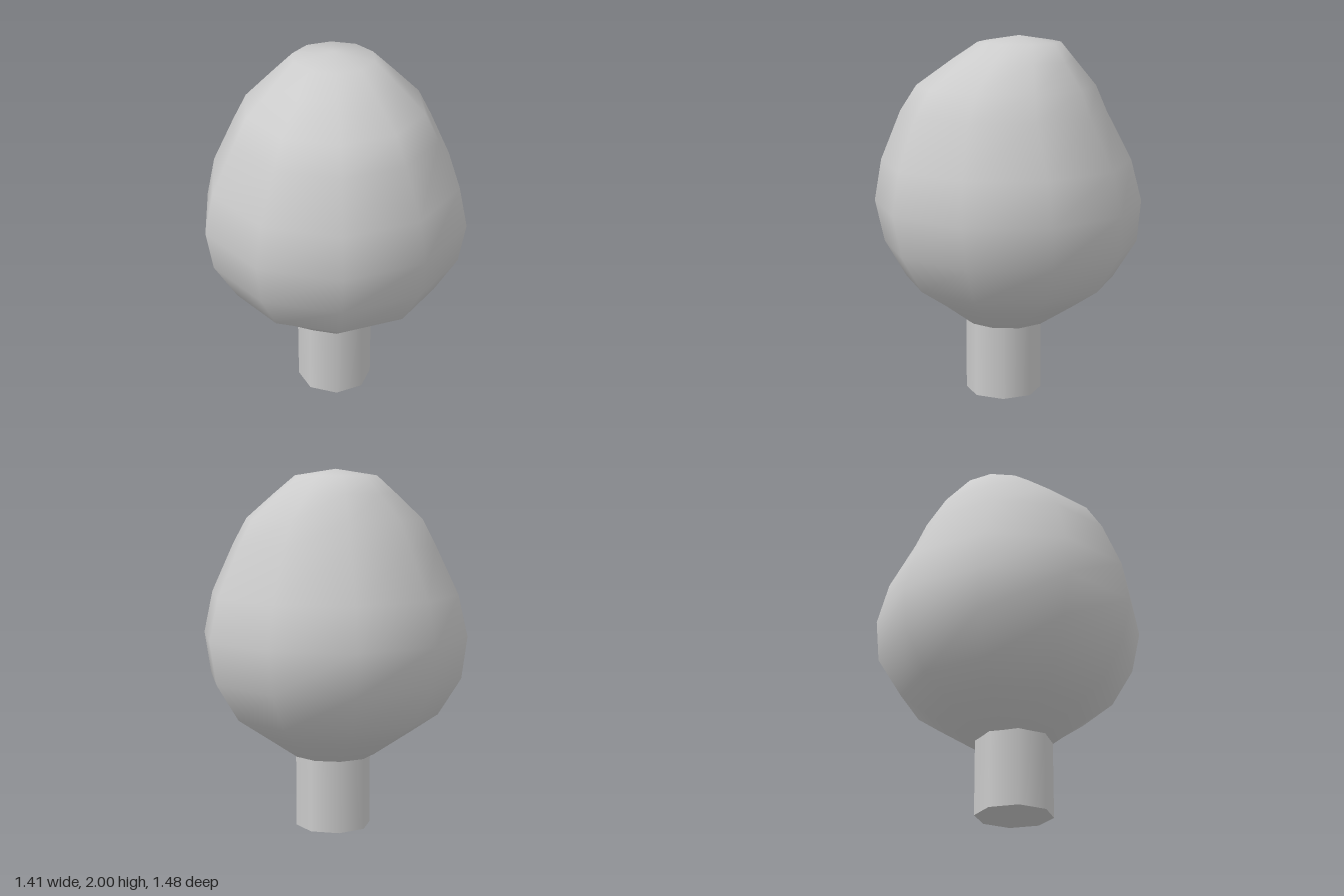
import * as THREE from 'three';

const SIDES = 10;

// Foliage rings from bottom to top: [height, radius, z of the ring centre]
const RINGS = [
  [0.415, 0.23, 0.005],
  [0.55, 0.425, -0.01],
  [0.655, 0.58, -0.01],
  [0.86, 0.705, -0.015],
  [1.09, 0.74, 0],
  [1.32, 0.69, 0.01],
  [1.59, 0.565, 0.025],
  [1.73, 0.49, 0.01],
  [1.87, 0.335, -0.03],
  [1.965, 0.225, -0.0625],
];

// Ten-sided crown lofted through the rings and closed by two poles
function crownGeometry() {
  const positions = [];
  const index = [];
  for (const [y, r, z] of RINGS) {
    for (let i = 0; i < SIDES; i++) {
      const a = (i / SIDES) * Math.PI * 2;
      positions.push(r * Math.sin(a), y, z + r * Math.cos(a));
    }
  }
  const bottom = RINGS.length * SIDES;
  const top = bottom + 1;
  positions.push(0, 0.405, 0, 0, 2, -0.06);

  const last = (RINGS.length - 1) * SIDES;
  for (let i = 0; i < SIDES; i++) {
    const j = (i + 1) % SIDES;
    for (let k = 0; k < last; k += SIDES) {
      index.push(k + i, k + j, k + SIDES + j, k + i, k + SIDES + j, k + SIDES + i);
    }
    index.push(bottom, j, i, top, last + i, last + j);
  }

  const geometry = new THREE.BufferGeometry();
  geometry.setAttribute('position', new THREE.Float32BufferAttribute(positions, 3));
  geometry.setIndex(index);
  geometry.computeVertexNormals();
  return geometry;
}

export function createModel() {
  const group = new THREE.Group();
  group.name = 'tree';
  const material = new THREE.MeshStandardMaterial({ color: 0xcccccc });

  // Smooth egg-shaped crown
  const crown = new THREE.Mesh(crownGeometry(), material);
  crown.name = 'crown';
  group.add(crown);

  // Eight-sided trunk, set slightly forward and running up into the crown
  const trunk = new THREE.Mesh(new THREE.CylinderGeometry(0.211, 0.211, 0.42, 8), material);
  trunk.name = 'trunk';
  trunk.position.set(0, 0.21, 0.025);
  group.add(trunk);

  return group;
}
